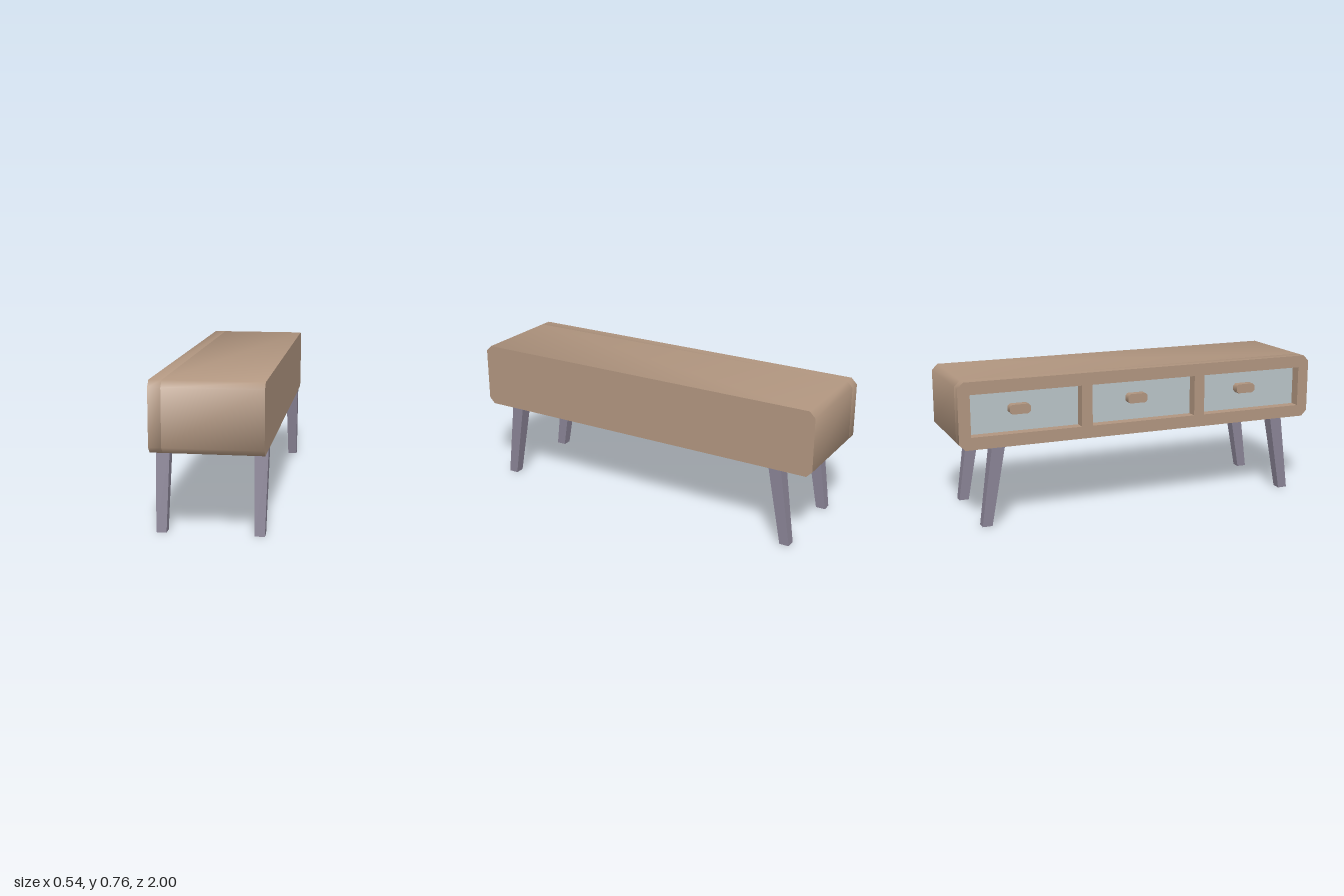
import * as THREE from 'three';
import { toCreasedNormals } from 'three/addons/utils/BufferGeometryUtils.js';

const mat = (name, color) => {
  const m = new THREE.MeshStandardMaterial({ color });
  m.name = name;
  return m;
};

// Rectangle in the z-y plane with cut corners
function chamferedShape(z0, z1, y0, y1, c) {
  return new THREE.Shape([
    [z0 + c, y0], [z1 - c, y0], [z1, y0 + c], [z1, y1 - c],
    [z1 - c, y1], [z0 + c, y1], [z0, y1 - c], [z0, y0 + c],
  ].map(([z, y]) => new THREE.Vector2(z, y)));
}

// Extrude a z-y shape from x = xStart towards -x, smooth round the profile, sharp at the caps
function extrudeAcross(shape, xStart, depth) {
  const g = new THREE.ExtrudeGeometry(shape, { depth, bevelEnabled: false });
  g.rotateY(-Math.PI / 2);
  g.translate(xStart, 0, 0);
  return toCreasedNormals(g, 1.0);
}

export function createModel() {
  const group = new THREE.Group();
  const wood = mat('warm wood', 0xb0957f);
  const legPaint = mat('mauve grey', 0x8a8496);
  const panelPaint = mat('pale blue grey', 0xb9c3c7);
  const add = (name, geometry, material) => {
    const m = new THREE.Mesh(geometry, material);
    m.name = name;
    group.add(m);
    return m;
  };

  const half = 0.272, recess = 0.062;
  const backX = -half + recess;
  const bays = [-0.645, 0, 0.645];
  const [bayY0, bayY1, bayHalf] = [0.476, 0.692, 0.293];
  const profile = () => chamferedShape(-1, 1, 0.412, 0.757, 0.031);

  // Cabinet body, and the open frame in front of the drawers
  add('cabinetBody', extrudeAcross(profile(), half, half - backX), wood);
  const frame = profile();
  for (const z of bays) {
    frame.holes.push(new THREE.Path([
      new THREE.Vector2(z - bayHalf, bayY0), new THREE.Vector2(z - bayHalf, bayY1),
      new THREE.Vector2(z + bayHalf, bayY1), new THREE.Vector2(z + bayHalf, bayY0),
    ]));
  }
  add('drawerFrame', extrudeAcross(frame, backX, recess), wood);

  // Drawer fronts and pulls
  for (const z of bays) {
    const panel = add('drawerFront', new THREE.BoxGeometry(0.004, bayY1 - bayY0, bayHalf * 2), panelPaint);
    panel.position.set(backX - 0.002, (bayY0 + bayY1) / 2, z);
    add('drawerPull',
      extrudeAcross(chamferedShape(z - 0.085, z + 0.025, 0.57, 0.62, 0.012), backX, 0.045), wood);
  }

  // Tapered, splayed legs
  const top = 0.413;
  for (const sx of [-1, 1]) {
    for (const sz of [-1, 1]) {
      const g = new THREE.BoxGeometry(1, 1, 1);
      const p = g.attributes.position;
      for (let i = 0; i < p.count; i++) {
        const up = p.getY(i) > 0;
        const w = up ? 0.068 : 0.05, d = up ? 0.068 : 0.052;
        p.setXYZ(i,
          sx * 0.238 + p.getX(i) * w,
          up ? top : 0,
          sz * (up ? 0.801 : 0.867) + p.getZ(i) * d);
      }
      g.computeVertexNormals();
      add(`${sz > 0 ? 'front' : 'back'}${sx > 0 ? 'Left' : 'Right'}Leg`, g, legPaint);
    }
  }
  return group;
}
